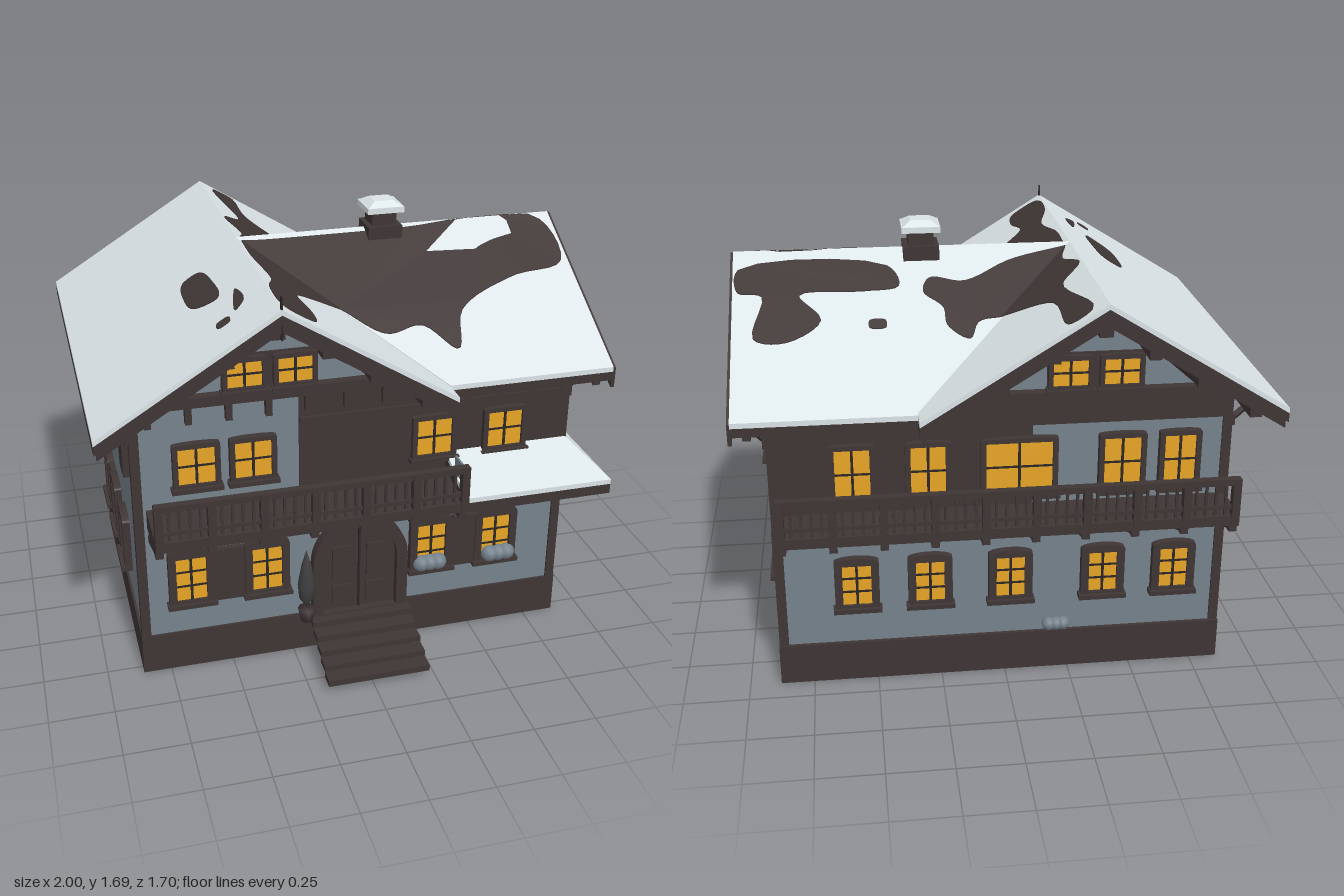
import * as THREE from 'three';

const mat = (name, color, side = THREE.FrontSide) => {
  const m = new THREE.MeshStandardMaterial({ color, side });
  m.name = name;
  return m;
};
const wall = mat('plaster', 0x75828c);
const timber = mat('timber', 0x3f3535);
const dark = mat('darkTimber', 0x2c2626);
const snow = mat('snow', 0xe0e9ec, THREE.DoubleSide);
const glow = mat('glowingGlass', 0xe8a626);
const leaf = mat('foliage', 0x403f40);

function add(parent, name, geo, material) {
  const m = new THREE.Mesh(geo, material);
  m.name = name;
  parent.add(m);
  return m;
}
function box(parent, name, material, x0, x1, y0, y1, z0, z1) {
  const m = add(parent, name, new THREE.BoxGeometry(x1 - x0, y1 - y0, z1 - z0), material);
  m.position.set((x0 + x1) / 2, (y0 + y1) / 2, (z0 + z1) / 2);
}
// beam between two points
function beam(parent, name, material, a, b, t) {
  const p = new THREE.Vector3(...a), q = new THREE.Vector3(...b);
  const m = add(parent, name, new THREE.BoxGeometry(t, t, p.distanceTo(q)), material);
  m.position.copy(p).add(q).multiplyScalar(0.5);
  m.quaternion.setFromUnitVectors(new THREE.Vector3(0, 0, 1), q.sub(p).normalize());
}
// plan outline [x, z] laid on a height function, between two vertical offsets
function slab(parent, name, material, pts, h, lo, hi) {
  const shape = new THREE.Shape(pts.map(([x, z]) => new THREE.Vector2(x, -z)));
  const geo = new THREE.ExtrudeGeometry(shape, { depth: 1, bevelEnabled: false }).rotateX(-Math.PI / 2);
  const p = geo.attributes.position;
  for (let i = 0; i < p.count; i++) p.setY(i, h(p.getX(i), p.getZ(i)) + (p.getY(i) > 0.5 ? hi : lo));
  geo.computeVertexNormals();
  add(parent, name, geo, material);
}
const rect = (x0, x1, z0, z1) => [[x0, z0], [x1, z0], [x1, z1], [x0, z1]];

// round-topped outline
function arch(path, w, y0, spring, rise) {
  path.moveTo(-w, y0);
  path.lineTo(w, y0);
  path.lineTo(w, spring);
  path.absellipse(0, spring, w, rise, 0, Math.PI, false);
  path.lineTo(-w, y0);
  return path;
}
const extrude = (shape, depth) => new THREE.ExtrudeGeometry(shape, { depth, bevelEnabled: false, curveSegments: 12 });

// lit window on a facade, from its glass centre and size
function litWindow(f, u, y0, w, h, cols = 2, rows = 3, rise = 0.03, border = 0.03) {
  const g = new THREE.Group();
  g.name = 'window';
  g.position.set(u, 0, 0);
  f.add(g);
  const a = w / 2, y1 = y0 + h;
  const s = arch(new THREE.Shape(), a + border, y0 - 0.015, y1 + 0.012, rise);
  s.holes.push(new THREE.Path([[-a, y0], [-a, y1], [a, y1], [a, y0]].map(p => new THREE.Vector2(...p))));
  add(g, 'windowFrame', extrude(s, 0.03), timber);
  box(g, 'glass', glow, -a, a, y0, y1, 0.009, 0.018);
  for (let i = 1; i < cols; i++) {
    const x = -a + w * i / cols;
    box(g, 'mullion', dark, x - 0.005, x + 0.005, y0, y1, 0.01, 0.022);
  }
  for (let i = 1; i < rows; i++) {
    const y = y0 + h * i / rows;
    box(g, 'glazingBar', dark, -a, a, y - 0.004, y + 0.004, 0.01, 0.021);
  }
  box(g, 'sill', timber, -a - border - 0.008, a + border + 0.008, y0 - 0.028, y0 - 0.01, 0, 0.045);
}
const shutter = (f, u0, u1, y0, y1) => box(f, 'shutter', timber, u0, u1, y0, y1, 0, 0.025);

function balcony(f, u0, u1, d) {
  const g = new THREE.Group();
  g.name = 'balcony';
  f.add(g);
  box(g, 'balconyFloor', timber, u0, u1, 0.69, 0.73, 0, d);
  box(g, 'topRail', timber, u0, u1, 0.855, 0.88, d - 0.03, d);
  box(g, 'lowerRail', timber, u0, u1, 0.755, 0.77, d - 0.025, d - 0.007);
  const n = Math.round((u1 - u0) / 0.2), bay = (u1 - u0 - 0.03) / n;
  for (let i = 0; i <= n; i++) {
    const u = u0 + 0.015 + bay * i;
    box(g, 'railPost', timber, u - 0.015, u + 0.015, 0.69, 0.88, d - 0.03, d + 0.003);
    box(g, 'floorJoist', timber, u - 0.015, u + 0.015, 0.655, 0.69, 0, d - 0.02);
    beam(g, 'bracket', timber, [u, 0.61, 0.005], [u, 0.67, d * 0.75], 0.028);
    for (let k = 1; k < 5 && i < n; k++) {
      const b = u + bay * k / 5;
      box(g, 'baluster', timber, b - 0.005, b + 0.005, 0.73, 0.86, d - 0.021, d - 0.011);
    }
  }
}

export function createModel() {
  const house = new THREE.Group();
  house.name = 'chalet';
  const facade = (name, x, z, turn) => {
    const g = new THREE.Group();
    g.name = name;
    g.position.set(x, 0, z);
    g.rotation.y = turn;
    house.add(g);
    return g;
  };
  const front = facade('frontFacade', 0, 0.53, 0), back = facade('backFacade', 0, -0.64, Math.PI);
  const left = facade('leftFacade', 0.87, 0, Math.PI / 2), right = facade('rightFacade', -0.85, 0, -Math.PI / 2);

  // plinth with a recessed underside, walls and gable bodies
  for (const z of [-0.655, 0.5]) box(house, 'plinthWall', timber, -0.86, 0.88, 0, 0.165, z, z + 0.04);
  for (const x of [-0.86, 0.84]) box(house, 'plinthWall', timber, x, x + 0.04, 0, 0.165, -0.615, 0.5);
  box(house, 'groundFloor', dark, -0.82, 0.84, 0.03, 0.165, -0.615, 0.5);
  box(house, 'walls', wall, -0.85, 0.87, 0.16, 1.19, -0.64, 0.53);
  const gable = (a, b, top) => new THREE.Shape([[a, 1.1], [b, 1.1], [b, 1.19], [top, 1.515], [a, 1.19]].map(p => new THREE.Vector2(...p)));
  add(house, 'frontGable', extrude(gable(-0.85, 0.19, -0.33), 1.17), wall).position.z = -0.64;
  const side = add(house, 'sideGable', extrude(gable(-0.53, 0.64, 0.04), 1.2), wall);
  side.rotation.y = Math.PI / 2;
  side.position.x = -0.33;
  for (const x of [-0.84, 0.86]) for (const z of [-0.63, 0.52])
    box(house, 'cornerPost', timber, x - 0.018, x + 0.018, 0.16, 1.19, z - 0.018, z + 0.018);

  // roof: two crossing ridges meeting in valleys
  const hA = x => 1.575 - Math.abs(x + 0.33) * 0.62;
  const hB = (x, z) => 1.575 - Math.abs(z + 0.04) * 0.58;
  const roofPlane = (h, ...pts) => {
    slab(house, 'roofSnow', snow, pts, h, -0.02, 0);
    slab(house, 'roofBoards', timber, pts, h, -0.055, -0.02);
  };
  roofPlane(hA, ...rect(-1, -0.33, -0.85, 0.76));
  roofPlane(hA, [-0.33, -0.85], [0.33, -0.85], [0.33, -0.76], [-0.33, -0.04], [0.33, 0.66], [0.33, 0.76], [-0.33, 0.76]);
  roofPlane(hB, [-0.33, -0.04], [0.99, -0.04], [0.99, 0.66], [0.33, 0.66]);
  roofPlane(hB, [-0.33, -0.04], [0.33, -0.76], [0.99, -0.76], [0.99, -0.04]);
  // verge boards and rafter tails
  for (const z of [0.735, -0.845])
    for (const [x0, x1] of [[-0.99, -0.33], [-0.33, 0.32]]) slab(house, 'vergeBoard', timber, rect(x0, x1, z, z + 0.02), hA, -0.085, -0.05);
  for (const [z0, z1] of [[-0.76, -0.04], [-0.04, 0.66]]) slab(house, 'vergeBoard', timber, rect(0.985, 1, z0, z1), hB, -0.085, -0.003);
  for (let i = 0; i < 11; i++) {
    const z = -0.75 + i * 0.14;
    slab(house, 'rafterTail', timber, rect(-0.97, -0.84, z, z + 0.03), hA, -0.09, -0.05);
  }
  for (let x = 0.4; x < 0.95; x += 0.13) for (const z of [0.52, -0.74])
    slab(house, 'rafterTail', timber, rect(x, x + 0.03, z, z + 0.12), hB, -0.09, -0.05);

  // bare patches where the snow has melted: soft outlines, open ones closed by a straight valley edge
  const patch = (h, closed, ...pts) => {
    const curve = new THREE.CatmullRomCurve3(pts.map(([x, z]) => new THREE.Vector3(x, 0, z)), closed, 'centripetal');
    const outline = curve.getPoints(pts.length * 5).map(p => [p.x, p.z]);
    if (closed) outline.pop();
    slab(house, 'bareRoofPatch', timber, outline, h, -0.002, 0.004);
  };
  patch(hA, false, [0, 0.31], [-0.13, 0.38], [-0.2, 0.44], [-0.18, 0.6], [-0.2, 0.7], [-0.3, 0.7], [-0.32, 0.52], [-0.28, 0.36], [-0.31, 0.15], [-0.31, -0.019]);
  patch(hB, false, [-0.31, -0.019], [-0.25, -0.015], [0.3, -0.015], [0.93, -0.015], [0.96, 0.19], [0.73, 0.24], [0.48, 0.36], [0.41, 0.52], [0.3, 0.41], [0.15, 0.43], [0, 0.31]);
  patch(hA, false, [-0.31, -0.062], [-0.28, -0.18], [-0.32, -0.32], [-0.24, -0.42], [-0.28, -0.8], [-0.2, -0.81], [-0.18, -0.53], [-0.02, -0.371]);
  patch(hB, false, [-0.02, -0.373], [0.07, -0.39], [0.11, -0.46], [0.19, -0.4], [0.2, -0.32], [0.27, -0.25], [0.24, -0.19], [0.11, -0.21], [-0.08, -0.12], [-0.31, -0.062]);
  patch(hB, true, [0.36, -0.22], [0.5, -0.24], [0.74, -0.25], [0.66, -0.36], [0.79, -0.45], [0.91, -0.43], [0.88, -0.25], [0.97, -0.23], [0.97, -0.13], [0.4, -0.13]);
  patch(hB, true, ...rect(0.42, 0.48, -0.4, -0.37));
  patch(hA, true, [-0.56, 0.05], [-0.5, 0.05], [-0.47, 0.21], [-0.48, 0.36], [-0.56, 0.32], [-0.58, 0.18]);
  patch(hA, true, [-0.42, 0.38], [-0.41, 0.5], [-0.45, 0.54]);
  patch(hA, true, ...rect(-0.52, -0.48, 0.55, 0.59));
  box(house, 'ridgeFinial', dark, -0.333, -0.327, 1.46, 1.62, 0.743, 0.758);

  // chimney
  box(house, 'chimneyBase', timber, 0.195, 0.335, 1.5, 1.59, -0.11, 0.03);
  box(house, 'chimneyShaft', timber, 0.215, 0.315, 1.58, 1.645, -0.09, 0.01);
  box(house, 'chimneyCap', snow, 0.19, 0.34, 1.645, 1.668, -0.115, 0.035);
  const cap = add(house, 'chimneySnow', new THREE.CylinderGeometry(0.055, 0.1, 0.02, 4, 1).toNonIndexed().rotateY(Math.PI / 4), snow);
  cap.geometry.computeVertexNormals();
  cap.position.set(0.265, 1.678, -0.04);

  // snowy lean-to wrapping the front corner
  const leanTo = (h, ...pts) => {
    slab(house, 'leanToSnow', snow, pts, h, -0.02, 0);
    slab(house, 'leanToBoards', timber, pts, h, -0.06, -0.02);
  };
  leanTo((x, z) => 0.83 - (z - 0.53) * 0.375, [0.37, 0.53], [0.87, 0.53], [0.97, 0.77], [0.37, 0.77]);
  leanTo(x => 0.83 - (x - 0.87) * 0.9, [0.87, 0.23], [0.97, 0.23], [0.97, 0.77], [0.87, 0.53]);
  for (const x of [0.5, 0.68, 0.84]) {
    box(house, 'leanToJoist', timber, x - 0.015, x + 0.015, 0.66, 0.69, 0.53, 0.74);
    beam(house, 'leanToBracket', timber, [x, 0.6, 0.535], [x, 0.67, 0.69], 0.025);
  }

  // timber cladding and floor beams
  box(front, 'cladding', timber, -0.22, 0.87, 0.73, 1.19, 0, 0.008);
  box(back, 'cladding', timber, -0.87, 0.1, 0.73, 1.19, 0, 0.008);
  box(back, 'friezeBand', timber, 0.1, 0.85, 1.05, 1.15, 0, 0.008);
  box(left, 'cladding', timber, -0.53, 0.25, 0.82, 1.02, 0, 0.008);
  box(left, 'barePlaster', timber, -0.24, 0, 0.165, 0.83, 0, 0.006);
  box(left, 'floorBeam', timber, -0.53, 0.64, 1.0, 1.055, 0, 0.02);
  box(right, 'floorBeam', timber, -0.64, 0.53, 1.01, 1.05, 0, 0.02);
  for (const y of [0.87, 0.94]) box(left, 'board', timber, 0.33, 0.6, y, y + 0.015, 0, 0.008);
  box(left, 'gableBeam', timber, -0.53, 0.64, 1.165, 1.19, 0, 0.03);
  box(left, 'gableLedge', timber, -0.12, 0.3, 1.16, 1.185, 0, 0.08);
  for (const u of [-0.1, 0.04, 0.26]) beam(left, 'ledgeBracket', timber, [u, 1.09, 0.005], [u, 1.16, 0.07], 0.022);
  for (const f of [front, back]) {
    const c = f === front ? -0.33 : 0.33;
    box(f, 'gableBeam', timber, c - 0.54, c + 0.54, 1.15, 1.19, 0, 0.04);
    box(f, 'windowSurround', timber, c - 0.18, c + 0.18, 1.18, 1.33, 0, 0.008);
    for (const d of [-0.095, 0.095]) litWindow(f, c + d, 1.205, 0.13, 0.1, 2, 2, 0.008, 0.018);
    for (const d of [-0.56, -0.36, -0.18, 0.18, 0.36, 0.56]) {
      const u = c + d, y = 1.5 - Math.abs(d) * 0.62;
      box(f, 'purlinEnd', timber, u - 0.022, u + 0.022, y - 0.04, y + 0.02, 0, 0.17);
    }
    box(f, 'ridgeBeam', timber, c - 0.025, c + 0.025, 1.44, 1.51, 0, 0.17);
    for (const d of [-0.4, 0.4]) beam(f, 'gableBrace', timber, [c + d, 1.19, 0.01], [c + d * 0.6, 1.33, 0.01], 0.025);
  }
  // frieze under the eaves
  for (let u = -0.8; u < 0.84; u += 0.15) box(front, 'friezeBlock', timber, u, u + 0.025, 1.08, 1.15, 0, 0.03);
  box(front, 'friezeRail', timber, -0.22, 0.87, 1.03, 1.05, 0, 0.02);
  // eave braces at the corners
  for (const z of [-0.62, 0.51]) {
    beam(house, 'eaveBrace', timber, [-0.85, 1.02, z], [-0.96, 1.12, z], 0.02);
    beam(house, 'eaveBrace', timber, [0.87, 1.02, z], [0.97, 1.12, z], 0.02);
  }

  // windows and shutters
  for (const u of [-0.655, -0.355, 0.32, 0.595]) litWindow(front, u, 0.32, 0.118, 0.19);
  shutter(front, -0.565, -0.445, 0.3, 0.53);
  shutter(front, 0.41, 0.525, 0.3, 0.53);
  for (const u of [-0.615, -0.4, 0.315, 0.605]) litWindow(front, u, 0.83, 0.14, 0.15, 2, 2, 0.008, 0.02);
  for (const u of [-0.57, -0.29, 0.02, 0.38, 0.66]) litWindow(back, u, 0.34, 0.11, 0.17, 2, 3, 0.02);
  for (const [u, w] of [[-0.57, 0.13], [-0.29, 0.13], [0.05, 0.25], [0.44, 0.14], [0.66, 0.12]]) litWindow(back, u, 0.79, w, 0.2, 2, 2, 0.008, 0.02);
  litWindow(left, 0.255, 0.33, 0.125, 0.18, 2, 2, 0.03, 0.055);
  for (const u of [-0.35, 0.25]) litWindow(left, u, 0.83, 0.12, 0.145, 1, 1, 0.008, 0.02);
  shutter(left, -0.2, -0.02, 0.83, 0.985);
  box(left, 'gablePost', timber, 0, 0.125, 1.18, 1.43, 0, 0.012);
  box(left, 'gableGlass', glow, 0.06, 0.1, 1.22, 1.43, 0.012, 0.02);
  for (const u of [0.035, 0.11]) box(left, 'gableMullion', timber, u, u + 0.018, 1.18, 1.46, 0, 0.03);
  for (const u of [-0.35, -0.1, 0.17]) litWindow(right, u, 0.33, 0.11, 0.18, 2, 3, 0.02);
  shutter(right, -0.27, -0.18, 0.31, 0.53);
  litWindow(right, -0.32, 0.83, 0.12, 0.14, 2, 2, 0.008, 0.02);
  shutter(right, 0.02, 0.17, 0.82, 0.99);
  shutter(right, 0.3, 0.42, 0.82, 0.99);

  balcony(front, -0.81, 0.38, 0.25);
  box(front, 'balconyEndPanel', wall, 0.362, 0.37, 0.8, 0.87, 0.13, 0.23);
  balcony(back, -0.85, 0.85, 0.2);

  // arched door and steps
  const door = new THREE.Group();
  door.name = 'door';
  door.position.x = 0.02;
  front.add(door);
  const surround = arch(new THREE.Shape(), 0.195, 0.165, 0.4, 0.2);
  surround.holes.push(arch(new THREE.Path(), 0.15, 0.17, 0.4, 0.155));
  add(door, 'doorSurround', extrude(surround, 0.045), timber);
  add(door, 'doorLeaves', extrude(arch(new THREE.Shape(), 0.15, 0.165, 0.4, 0.155), 0.012), timber);
  box(door, 'doorGap', dark, -0.004, 0.004, 0.17, 0.55, 0.01, 0.02);
  for (const u of [-0.07, 0.07]) for (const [y0, y1] of [[0.2, 0.28], [0.31, 0.46]])
    box(door, 'doorPanel', timber, u - 0.04, u + 0.04, y0, y1, 0.01, 0.02);
  for (let i = 0; i < 5; i++) box(house, 'step', timber, -0.185, 0.225, 0.03 + i * 0.027, 0.055 + i * 0.027, 0.79 - i * 0.06, 0.852 - i * 0.06);
  for (const x of [-0.15, 0.18]) beam(house, 'stepStringer', timber, [x, 0.13, 0.53], [x, 0.04, 0.79], 0.025);

  // potted topiary and snowy shrubs
  const lathe = (name, material, pts) =>
    add(house, name, new THREE.LatheGeometry(pts.map(p => new THREE.Vector2(...p)), 10), material).position.set(-0.205, 0, 0.58);
  lathe('treePot', timber, [[0, 0.165], [0.025, 0.165], [0.035, 0.22], [0, 0.22]]);
  lathe('tree', leaf, [[0, 0.21], [0.008, 0.24], [0.03, 0.27], [0.035, 0.33], [0.02, 0.42], [0, 0.49]]);
  const shrub = (f, u, y, r) => {
    for (const d of [-1, 0, 1]) add(f, 'shrub', new THREE.IcosahedronGeometry(r, 1), wall).position.set(u + d * r, y, 0.025);
  };
  shrub(front, 0.315, 0.335, 0.036);
  shrub(front, 0.61, 0.335, 0.036);
  shrub(back, 0.2, 0.205, 0.028);
  return house;
}
